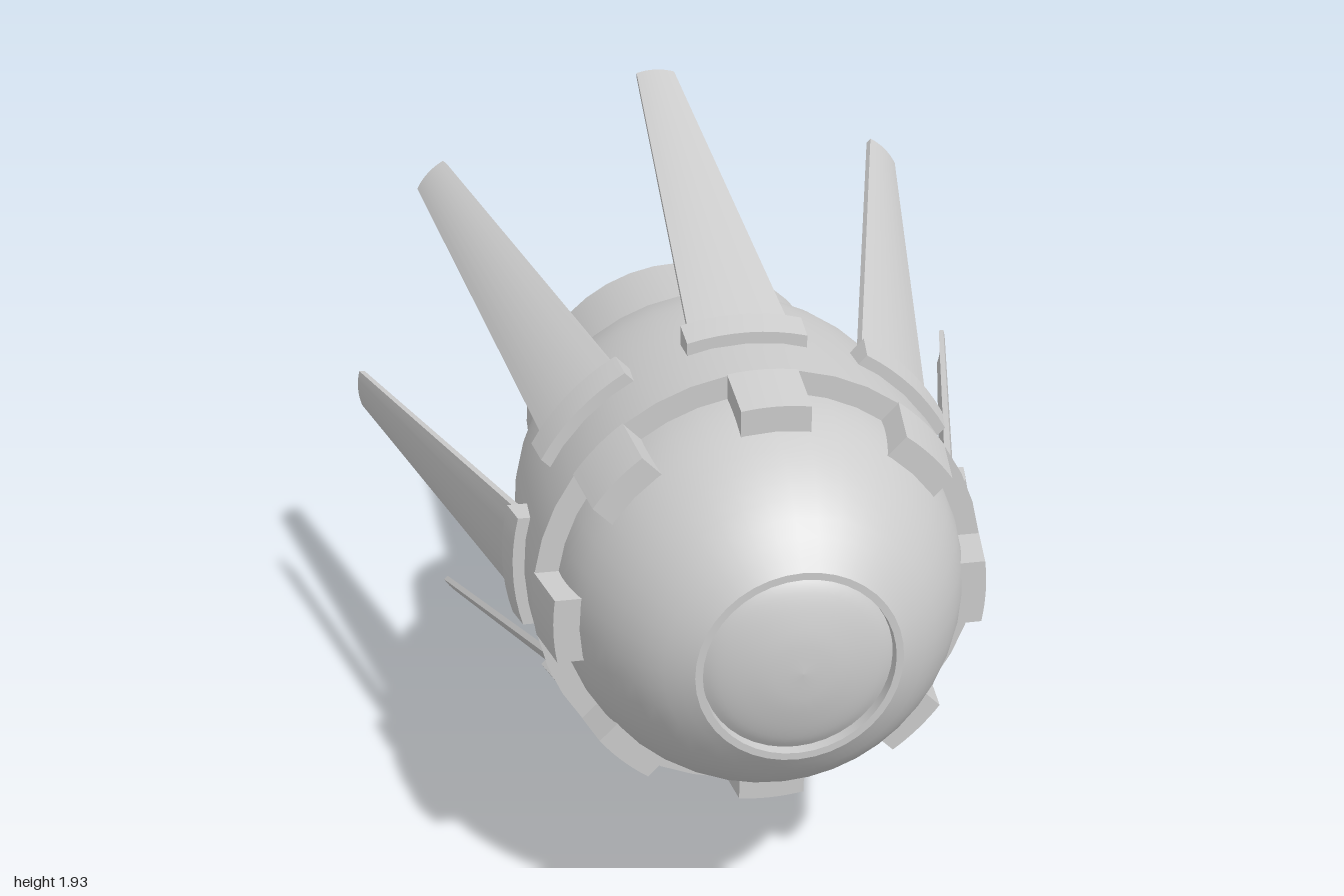
import * as THREE from 'three';

const material = new THREE.MeshStandardMaterial({ color: 0xcccccc });
const AXIS_HEIGHT = 0.967;

// Smooth surface of revolution about z; points are [radius, z], listed rear to front on outer walls
function turned(name, points, curved = false) {
  let profile = points.map(([r, z]) => new THREE.Vector2(r, z));
  if (curved) profile = new THREE.SplineCurve(profile).getPoints(14);
  const geometry = new THREE.LatheGeometry(profile, 40).rotateX(Math.PI / 2);
  const mesh = new THREE.Mesh(geometry, material);
  mesh.name = name;
  return mesh;
}

// Bowed plate above the axis, blended from a rear to a front section.
// Section: z, inner and outer radius, width, bow (radius of the curve across the plate)
function plateGeometry(rear, front) {
  const geometry = new THREE.BoxGeometry(1, 1, 1, 8, 1, 1);
  const position = geometry.attributes.position;
  const mix = THREE.MathUtils.lerp;
  for (let i = 0; i < position.count; i++) {
    const t = position.getZ(i) + 0.5;
    const radius = mix(mix(rear.inner, front.inner, t), mix(rear.outer, front.outer, t), position.getY(i) + 0.5);
    const x = position.getX(i) * mix(rear.width, front.width, t);
    const bow = mix(rear.bow, front.bow, t);
    position.setXYZ(i, x, radius - bow + Math.sqrt(bow * bow - x * x), mix(rear.z, front.z, t));
  }
  geometry.computeVertexNormals();
  return geometry;
}

export function createModel() {
  const model = new THREE.Group();
  model.name = 'capsule';
  const core = new THREE.Group();
  core.name = 'core';
  core.position.y = AXIS_HEIGHT;
  model.add(core);

  // Nose: window bulge, its rim and the dome
  core.add(
    turned('noseWindow', [[0.23, 0.945], [0.2, 0.962], [0.15, 0.979], [0.08, 0.994], [0, 1]], true),
    turned('windowRim', [[0.25, 0.972], [0.232, 0.972]]),
    turned('windowRimInside', [[0.232, 0.972], [0.23, 0.945]]),
    turned('noseDome', [[0.52, 0.53], [0.51, 0.6], [0.482, 0.69], [0.425, 0.8], [0.345, 0.9], [0.25, 0.972]], true),
  );

  // Main hull with flat front lip and rear step
  core.add(
    turned('hullLip', [[0.577, 0.54], [0.515, 0.54]]),
    turned('hull', [[0.53, -0.18], [0.552, -0.1], [0.57, 0], [0.58, 0.15], [0.581, 0.35], [0.577, 0.54]], true),
    turned('hullStep', [[0.46, -0.18], [0.53, -0.18]]),
  );

  // Rear cylinder with dished end and central nozzle
  core.add(
    turned('rearCylinder', [[0.47, -0.63], [0.47, -0.17]]),
    turned('rearRim', [[0.41, -0.63], [0.47, -0.63]]),
    turned('rearRimInside', [[0.4, -0.56], [0.41, -0.63]]),
    turned('rearDish', [[0.18, -0.57], [0.24, -0.575], [0.28, -0.56], [0.32, -0.53], [0.36, -0.53], [0.4, -0.56]], true),
    turned('nozzleWall', [[0.165, -0.38], [0.18, -0.57]]),
    turned('nozzleFloor', [[0, -0.38], [0.165, -0.38]]),
  );

  const tab = plateGeometry(
    { z: 0.535, inner: 0.5, outer: 0.579, width: 0.175, bow: 0.57 },
    { z: 0.69, inner: 0.475, outer: 0.545, width: 0.17, bow: 0.54 });
  const bracket = plateGeometry(
    { z: 0.28, inner: 0.56, outer: 0.63, width: 0.31, bow: 0.6 },
    { z: 0.36, inner: 0.56, outer: 0.61, width: 0.305, bow: 0.6 });
  const finRoot = { z: 0.3, inner: 0.57, outer: 0.588, width: 0.267, bow: 0.58 };
  const uprightFin = plateGeometry({ z: -0.995, inner: 0.948, outer: 0.964, width: 0.115, bow: 0.2 }, finRoot);
  const diagonalFin = plateGeometry({ z: -0.91, inner: 0.98, outer: 0.997, width: 0.115, bow: 0.2 }, finRoot);

  // Eight tabs, brackets and swept fins; the diagonal fins spread wider
  for (let i = 0; i < 8; i++) {
    const station = new THREE.Group();
    station.name = `finStation${i + 1}`;
    const parts = { tab, bracket, fin: i % 2 ? diagonalFin : uprightFin };
    for (const [name, geometry] of Object.entries(parts)) {
      const mesh = new THREE.Mesh(geometry, material);
      mesh.name = name;
      station.add(mesh);
    }
    station.rotation.z = (i * Math.PI) / 4;
    core.add(station);
  }
  return model;
}
